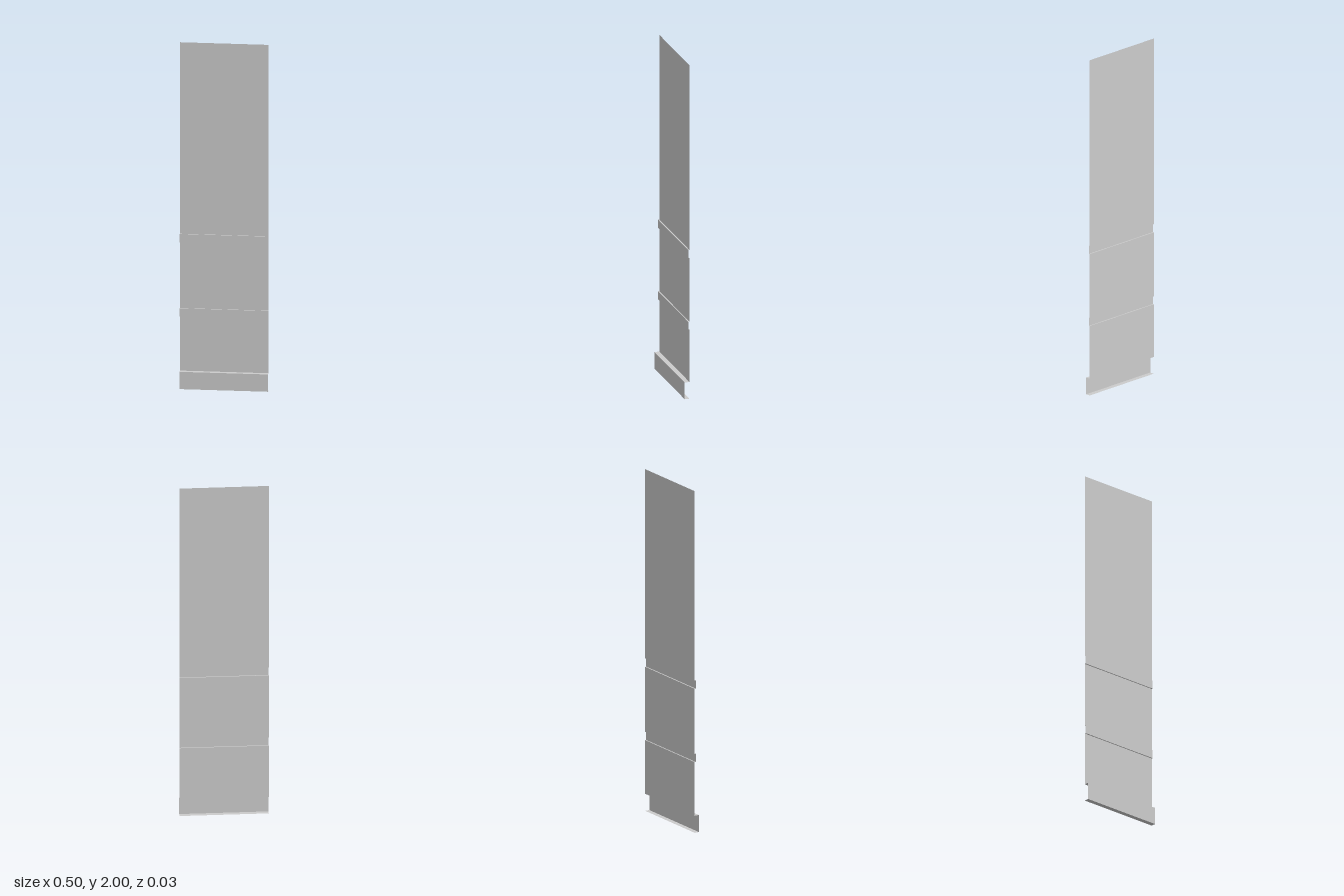
import * as THREE from 'three';

const WIDTH = 0.5;
const BACK = -0.014, RIB = -0.007, FRONT = 0.014;

// Thin sheet swept across x from a list of [z, y] profile points
function foldedSheet(name, profile, material) {
  const group = new THREE.Group();
  group.name = name;
  for (let i = 0; i < profile.length - 1; i++) {
    const [z0, y0] = profile[i], [z1, y1] = profile[i + 1];
    const length = Math.hypot(z1 - z0, y1 - y0);
    const strip = new THREE.Mesh(new THREE.PlaneGeometry(WIDTH, length), material);
    strip.name = name + (y0 === y1 ? 'Ledge' : 'Face') + (i + 1);
    strip.position.set(0, (y0 + y1) / 2, (z0 + z1) / 2);
    strip.rotation.x = Math.atan2(z0 - z1, y0 - y1);
    group.add(strip);
  }
  return group;
}

export function createModel() {
  const model = new THREE.Group();
  model.name = 'foldedPanel';
  const material = new THREE.MeshStandardMaterial({
    color: 0xcccccc, side: THREE.DoubleSide, flatShading: true,
  });

  // Flat wall sections between the ribs
  for (const [top, bottom] of [[2, 0.892], [0.843, 0.462], [0.414, 0.1]]) {
    model.add(foldedSheet('panel', [[BACK, top], [BACK, bottom]], material));
  }

  // Two shallow raised ribs, open at the back
  for (const [top, bottom] of [[0.892, 0.843], [0.462, 0.414]]) {
    model.add(foldedSheet('rib', [[BACK, top], [RIB, top], [RIB, bottom], [BACK, bottom]], material));
  }

  // Deeper skirting channel at the foot
  model.add(foldedSheet('skirting', [[BACK, 0.1], [FRONT, 0.1], [FRONT, 0], [BACK, 0]], material));

  return model;
}
